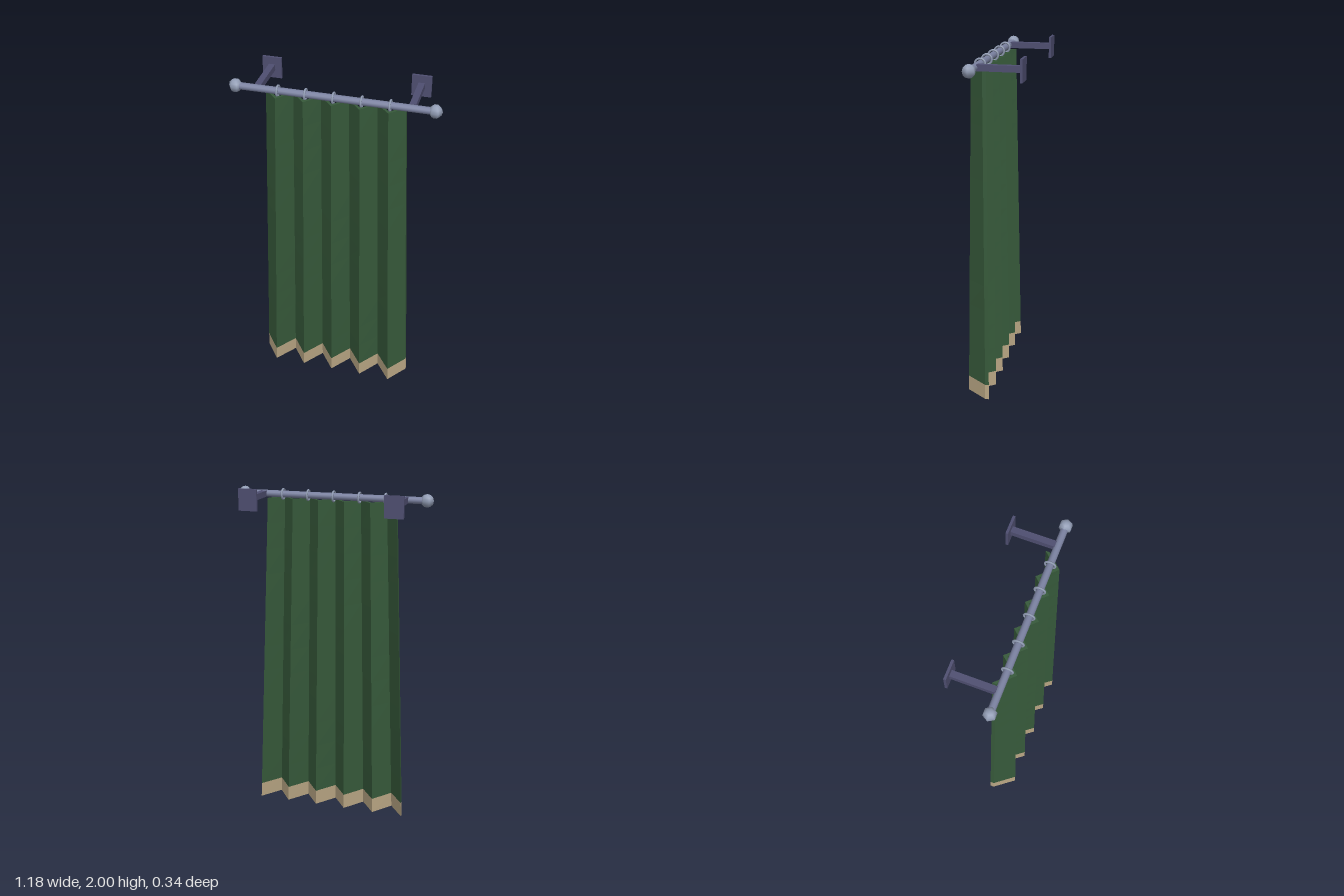
import * as THREE from 'three';

const material = (name, color, flatShading = false) => {
  const m = new THREE.MeshStandardMaterial({ color, flatShading });
  m.name = name;
  return m;
};

const ROD_Y = 1.94, ROD_Z = 0.097, CLOTH_TOP = 1.92, HEM_TOP = 0.09, FOLDS = 10;

// A pleated band of fabric between two heights, flaring towards the floor
function pleatedBand(y0, y1, rows) {
  const geo = new THREE.BoxGeometry(FOLDS, y1 - y0, 0.022, FOLDS, rows, 1);
  geo.translate(0, (y0 + y1) / 2, 0);
  const p = geo.attributes.position;
  for (let i = 0; i < p.count; i++) {
    const column = Math.round(p.getX(i) + FOLDS / 2);
    const t = p.getY(i) / CLOTH_TOP;
    const halfWidth = THREE.MathUtils.lerp(0.462, 0.388, t);
    const depth = THREE.MathUtils.lerp(0.061, 0.041, t);
    p.setX(i, (column / FOLDS * 2 - 1) * halfWidth);
    p.setZ(i, ROD_Z + p.getZ(i) + (column % 2 ? depth : -depth));
  }
  // unshared corners keep every pleat crisp
  const flat = geo.toNonIndexed();
  flat.computeVertexNormals();
  return flat;
}

export function createModel() {
  const model = new THREE.Group();
  model.name = 'curtain';
  const green = material('green fabric', 0x36593a, true);
  const tan = material('tan hem', 0xb8a583, true);
  const steel = material('rod steel', 0x7a81a0);
  const silver = material('pale steel', 0x929db5);
  const dark = material('dark bracket', 0x4e4e70);

  const add = (name, geo, mat, x = 0, y = 0, z = 0) => {
    const mesh = new THREE.Mesh(geo, mat);
    mesh.name = name;
    mesh.position.set(x, y, z);
    model.add(mesh);
    return mesh;
  };

  // Fabric
  add('curtainCloth', pleatedBand(HEM_TOP, CLOTH_TOP, 12), green);
  add('curtainHem', pleatedBand(0, HEM_TOP, 1), tan);

  // Rod
  const rod = new THREE.CylinderGeometry(0.02, 0.02, 1.1, 12).rotateZ(Math.PI / 2);
  add('rod', rod, steel, 0, ROD_Y, ROD_Z);

  // Finials and wall brackets, mirrored
  const finial = new THREE.SphereGeometry(0.038, 6, 6);
  const arm = new THREE.BoxGeometry(0.036, 0.035, 0.245);
  const plate = new THREE.BoxGeometry(0.11, 0.125, 0.014);
  for (const [side, s] of [['left', 1], ['right', -1]]) {
    add(side + 'Finial', finial, silver, s * 0.55, ROD_Y, ROD_Z);
    add(side + 'BracketArm', arm, dark, s * 0.426, ROD_Y, -0.038);
    add(side + 'WallPlate', plate, dark, s * 0.426, 1.9375, -0.165);
  }

  // Rings threaded on the rod
  const ring = new THREE.TorusGeometry(0.029, 0.006, 6, 14).rotateY(Math.PI / 2);
  for (let i = -2; i <= 2; i++) add('ring', ring, silver, i * 0.155, ROD_Y, ROD_Z);

  return model;
}
